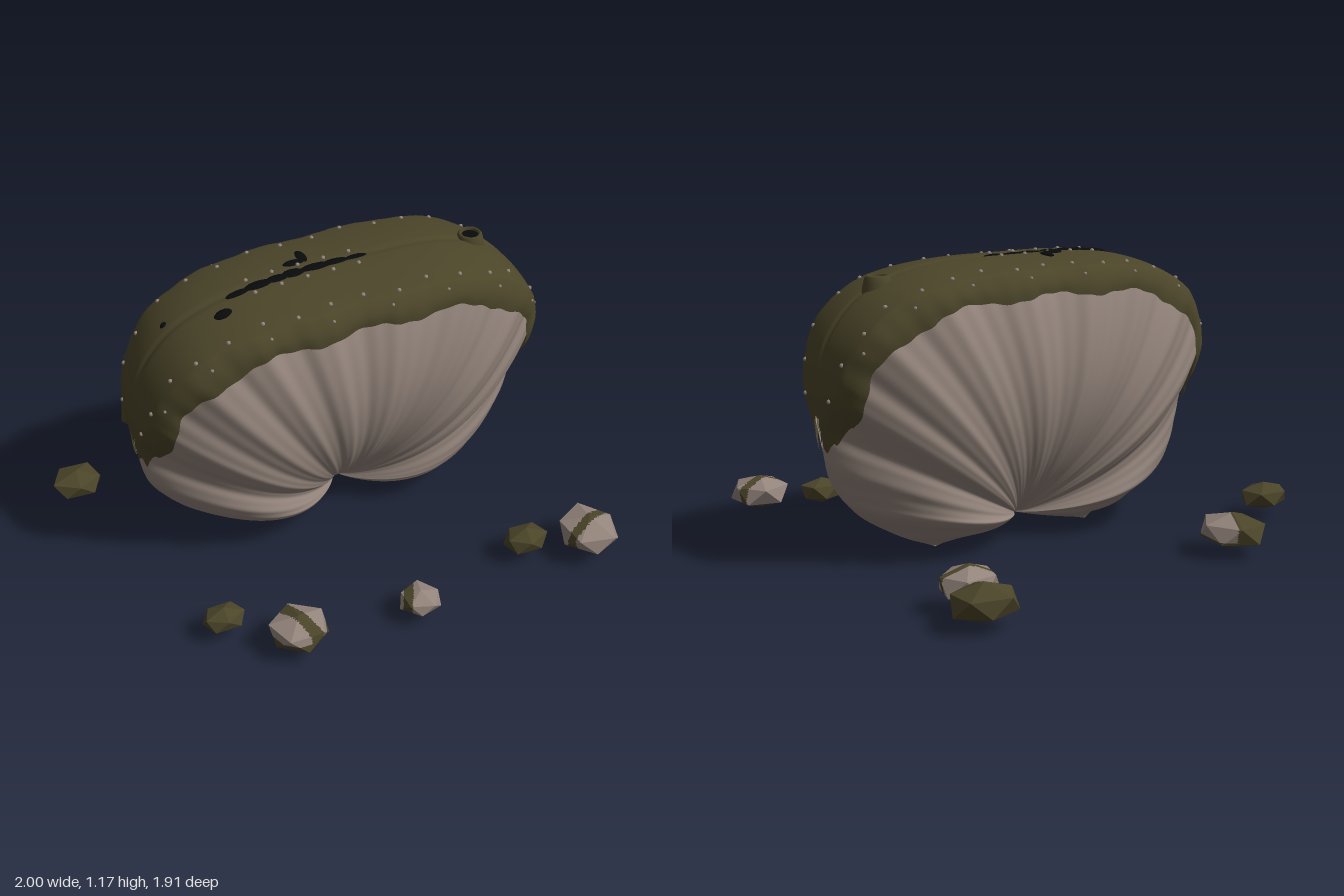
import * as THREE from 'three';

const CX = 0.115, CZ = 0.028, HINGE_Y = 0.1;
const { clamp, lerp } = THREE.MathUtils;

// piecewise linear lookup through [x, y] pairs
function ramp(x, pts) {
  if (x <= pts[0][0]) return pts[0][1];
  for (let i = 1; i < pts.length; i++) {
    const [a, b] = [pts[i - 1], pts[i]];
    if (x <= b[0]) return lerp(a[1], b[1], (x - a[0]) / (b[0] - a[0]));
  }
  return pts[pts.length - 1][1];
}

// fan outline of the shell, mirrored about its middle
const half = [[-0.365, 0.01], [-0.56, 0.1], [-0.735, 0.22], [-0.83, 0.36], [-0.866, 0.55],
  [-0.858, 0.72], [-0.8, 0.88], [-0.66, 1.02], [-0.42, 1.1]];
const outlinePts = [...half, [0, 1.12], ...half.slice().reverse().map(([x, y]) => [-x, y])];
const outline = new THREE.CatmullRomCurve3(outlinePts.map(([x, y]) => new THREE.Vector3(x, y, 0)), false, 'centripetal');
outline.arcLengthDivisions = 600;

// half the gape between the valves at the rim, by height
const gape = (y) => ramp(y, [[0.48, 0], [0.57, 0.02], [0.66, 0.08], [0.76, 0.135], [0.9, 0.18], [1, 0.21], [1.12, 0.245]]);

// distance of a valve's surface from the middle plane; u runs round the rim, v from hinge to rim
function depth(u, v, rimY, ribbing) {
  const e = Math.min(u, 1 - u);
  const side = Math.sqrt(clamp(e / 0.12, 0, 1));
  const bulge = lerp(0.255, 0.185, clamp((e - 0.12) / 0.25, 0, 1)) * side;
  const base = gape(rimY) * Math.pow(v, 0.7) + bulge * Math.pow(Math.sin(Math.PI * Math.pow(Math.min(v, 1), 0.92)), 0.8);
  const ribs = 0.014 * Math.cos(u * Math.PI * 26 + Math.sin(u * 17)) + 0.003 * Math.sin(u * Math.PI * 84);
  return base + ribbing * ribs * v * Math.min(1, base / 0.1) * lerp(0.5, 1, clamp((e - 0.1) / 0.15, 0, 1));
}

function valvePoint(u, v, side) {
  const c = outline.getPointAt(u);
  const seam = 0.014 * Math.sin(u * 90) * v * clamp(1 - c.y / 0.7, 0, 1);
  return new THREE.Vector3(CX + c.x * v, HINGE_Y + (c.y - HINGE_Y) * v, CZ + seam + side * depth(u, v, c.y, 1));
}

// mantle draped over the gape: |t| below 0.6 bridges the valves, beyond that it hangs over them
function mantlePoint(s, t) {
  const a = Math.abs(t), side = Math.sign(t);
  const end = ramp(a, [[0, 0.208], [0.2, 0.206], [0.6, 0.184], [0.75, 0.184], [1, 0.215]]) + 0.005 * Math.sin(t * 31);
  const u = lerp(end, 1 - end, s);
  const c = outline.getPointAt(u);
  const high = clamp((c.y - 0.6) / 0.5, 0, 1);
  const lift = 1.006 + 0.01 * high;
  let scale, z;
  if (a <= 0.6) {
    const k = a / 0.6;
    scale = lift + (0.008 + 0.025 * high) * (1 - k * k) - 0.006 * Math.exp(-k * k * 300);
    z = side * k * (depth(u, 1, c.y, 0.4) + 0.018);
  } else {
    const k = (a - 0.6) / 0.4;
    const edge = 0.915 + 0.012 * Math.cos((u - 0.5) * 58) + 0.003 * Math.sin(u * 210) + 0.015 * clamp((0.8 - c.y) / 0.3, 0, 1);
    const v = lerp(1, edge, k);
    scale = v * lerp(lift, 1.004, k);
    z = side * (depth(u, v, c.y, 0.4) + 0.018 + 0.01 * Math.sin(k * Math.PI));
  }
  return new THREE.Vector3(CX + c.x * scale, HINGE_Y + (c.y - HINGE_Y) * scale, CZ + z);
}

// smooth surface from a rule point(i, j) with i and j in 0..1
function surface(point, ni, nj, flip) {
  const pos = [], idx = [];
  for (let i = 0; i <= ni; i++) for (let j = 0; j <= nj; j++) pos.push(...point(i / ni, j / nj).toArray());
  for (let i = 0; i < ni; i++) for (let j = 0; j < nj; j++) {
    const a = i * (nj + 1) + j, b = a + 1, c = a + nj + 1, d = c + 1;
    if (flip) idx.push(a, b, c, b, d, c);
    else idx.push(a, c, b, b, c, d);
  }
  const g = new THREE.BufferGeometry();
  g.setAttribute('position', new THREE.Float32BufferAttribute(pos, 3));
  g.setIndex(idx);
  g.computeVertexNormals();
  return g;
}

// point on top of the mantle above a given x and z
function topAt(x, z) {
  let lo = 0, hi = 1, p;
  for (let k = 0; k < 30; k++) {
    const mid = (lo + hi) / 2;
    const w = Math.abs(mantlePoint(mid, 0.6).z - CZ);
    p = mantlePoint(mid, clamp(0.6 * (z - CZ) / w, -0.6, 0.6));
    if (p.x < x) lo = mid; else hi = mid;
  }
  return p;
}

// faceted pebble; olive where its patch rule says so, every flat face split finely to follow the patch edge
function pebbleGeometry(rx, ry, rz, turn, n, isOlive) {
  const ball = new THREE.IcosahedronGeometry(1, 0).rotateZ(Math.atan(2 / (1 + Math.sqrt(5)))).rotateY(turn);
  const p = ball.attributes.position;
  const lists = [[], []];
  for (let f = 0; f < p.count; f += 3) {
    const [A, B, C] = [0, 1, 2].map((k) => {
      const q = new THREE.Vector3().fromBufferAttribute(p, f + k);
      const bump = 1 + 0.06 * Math.sin(q.x * 5 + q.z * 7 + rx * 200);
      return q.multiply(new THREE.Vector3(bump, 1, bump));
    });
    const at = (i, j) => A.clone().lerp(B, i / n).addScaledVector(C, j / n).addScaledVector(A, -j / n);
    const put = (...tri) => {
      const mid = tri[0].clone().add(tri[1]).add(tri[2]).divideScalar(3);
      const list = lists[isOlive(mid) ? 0 : 1];
      for (const q of tri) list.push(q.x * rx, q.y * ry, q.z * rz);
    };
    for (let i = 0; i < n; i++) for (let j = 0; i + j < n; j++) {
      put(at(i, j), at(i + 1, j), at(i, j + 1));
      if (i + j < n - 1) put(at(i + 1, j), at(i + 1, j + 1), at(i, j + 1));
    }
  }
  const g = new THREE.BufferGeometry();
  g.setAttribute('position', new THREE.Float32BufferAttribute([...lists[0], ...lists[1]], 3));
  g.addGroup(0, lists[0].length / 3, 0);
  g.addGroup(lists[0].length / 3, lists[1].length / 3, 1);
  g.computeVertexNormals();
  return g;
}

export function createModel() {
  const group = new THREE.Group();
  const material = (name, color, extra) => Object.assign(new THREE.MeshStandardMaterial({ color, ...extra }), { name });
  const shell = material('shell', 0x94857c, { side: THREE.DoubleSide });
  const olive = material('olive', 0x4b4529, { side: THREE.DoubleSide });
  const black = material('black', 0x090a0b);
  const add = (name, geometry, mat, parent = group) => {
    const m = new THREE.Mesh(geometry, mat);
    m.name = name;
    parent.add(m);
    return m;
  };

  // the two ribbed valves and the mantle
  add('frontValve', surface((i, j) => valvePoint(i, j, 1), 260, 40, true), shell);
  add('backValve', surface((i, j) => valvePoint(i, j, -1), 260, 40, false), shell);
  add('mantle', surface((i, j) => mantlePoint(i, j * 2 - 1), 220, 80, true), olive);

  // dark slit and blotches lying on the mantle: x, z, x radius, z radius
  const slit = new THREE.Group();
  slit.name = 'slit';
  group.add(slit);
  const spots = [[-0.31, 0.046, 0.05, 0.018], [-0.22, 0.04, 0.06, 0.027], [-0.14, 0.037, 0.05, 0.026],
    [-0.07, 0.033, 0.05, 0.034], [0.03, 0.03, 0.07, 0.03], [0.11, 0.028, 0.06, 0.024], [0.2, 0.03, 0.05, 0.016],
    [-0.04, -0.03, 0.045, 0.02], [0.008, -0.06, 0.02, 0.045], [-0.4, 0.115, 0.037, 0.026], [-0.59, -0.02, 0.015, 0.012]];
  for (const [x, z, rx, rz] of spots) {
    const m = add('slitPatch', new THREE.SphereGeometry(1, 12, 8), black, slit);
    m.position.copy(topAt(x, z));
    m.scale.set(rx, 0.009, rz);
    m.rotation.z = Math.atan2(topAt(x + 0.02, z).y - topAt(x - 0.02, z).y, 0.04);
  }

  // siphon with its dark opening
  const siphon = add('siphon', new THREE.LatheGeometry([[0.08, -0.06], [0.064, 0], [0.056, 0.04], [0.049, 0.065],
    [0.042, 0.072], [0.034, 0.066], [0.032, 0.03]].map(([x, y]) => new THREE.Vector2(x, y)), 24), olive);
  siphon.position.set(0.725, 1.06, 0.022);
  const hole = add('siphonOpening', new THREE.CylinderGeometry(0.035, 0.035, 0.008, 20), black);
  hole.position.set(0.725, 1.116, 0.022);

  // small pale warts along both rims and beside the slit
  const warts = new THREE.Group();
  warts.name = 'warts';
  group.add(warts);
  const wart = (p, r) => add('wart', new THREE.SphereGeometry(r, 8, 6), shell, warts).position.copy(p);
  for (const side of [-1, 1]) {
    for (let i = 0; i < 17; i++) {
      wart(mantlePoint(0.07 + i * 0.054, side * (0.53 + 0.03 * Math.sin(i * 2.3))), 0.009);
      if (i % 2) wart(mantlePoint(0.09 + i * 0.05, side * 0.7), 0.007);
    }
    for (let i = 0; i < 5; i++) wart(topAt(-0.25 + i * 0.11, 0.034 + side * 0.045), 0.009);
  }

  // pebbles: x, z, x radius, z radius, y, y radius, turn, then for two-coloured ones the direction
  // across the olive band, where the band starts and ends, and the height below which all is olive
  const pebbles = [
    [-0.893, -0.38, 0.117, 0.1, 0.105, 0.058, 0.2],
    [-0.45, -0.695, 0.133, 0.15, 0.108, 0.072, 0.5, 0.5, -2, 0.05, -0.3],
    [0.81, -0.855, 0.142, 0.122, 0.108, 0.074, 0.1],
    [0.762, -0.68, 0.127, 0.108, 0.12, 0.07, 0.4, 1.8, -0.14, 0.14, -0.5],
    [-0.65, 0.62, 0.095, 0.068, 0.1, 0.05, 0.3],
    [-0.42, 0.81, 0.128, 0.118, 0.112, 0.07, 0.9, -0.3, -0.15, 0.25, 0],
    [0.08, 0.862, 0.092, 0.088, 0.098, 0.046, 0.6, 0.5, -0.7, -0.3, -0.5],
    [0.63, 0.75, 0.1, 0.073, 0.105, 0.056, 0.2],
    [0.88, 0.83, 0.13, 0.138, 0.12, 0.07, 0.7, 1.2, -0.16, 0.12, -0.5]];
  for (const [x, z, rx, rz, y, ry, turn, angle, from, to, low] of pebbles) {
    const plain = angle === undefined;
    const rule = (q) => {
      const across = q.x * Math.cos(angle) + q.z * Math.sin(angle);
      return plain || q.y < low || (across > from && across < to);
    };
    add('pebble', pebbleGeometry(rx, ry, rz, turn, plain ? 1 : 12, rule), [olive, shell]).position.set(x, y, z);
  }
  return group;
}
